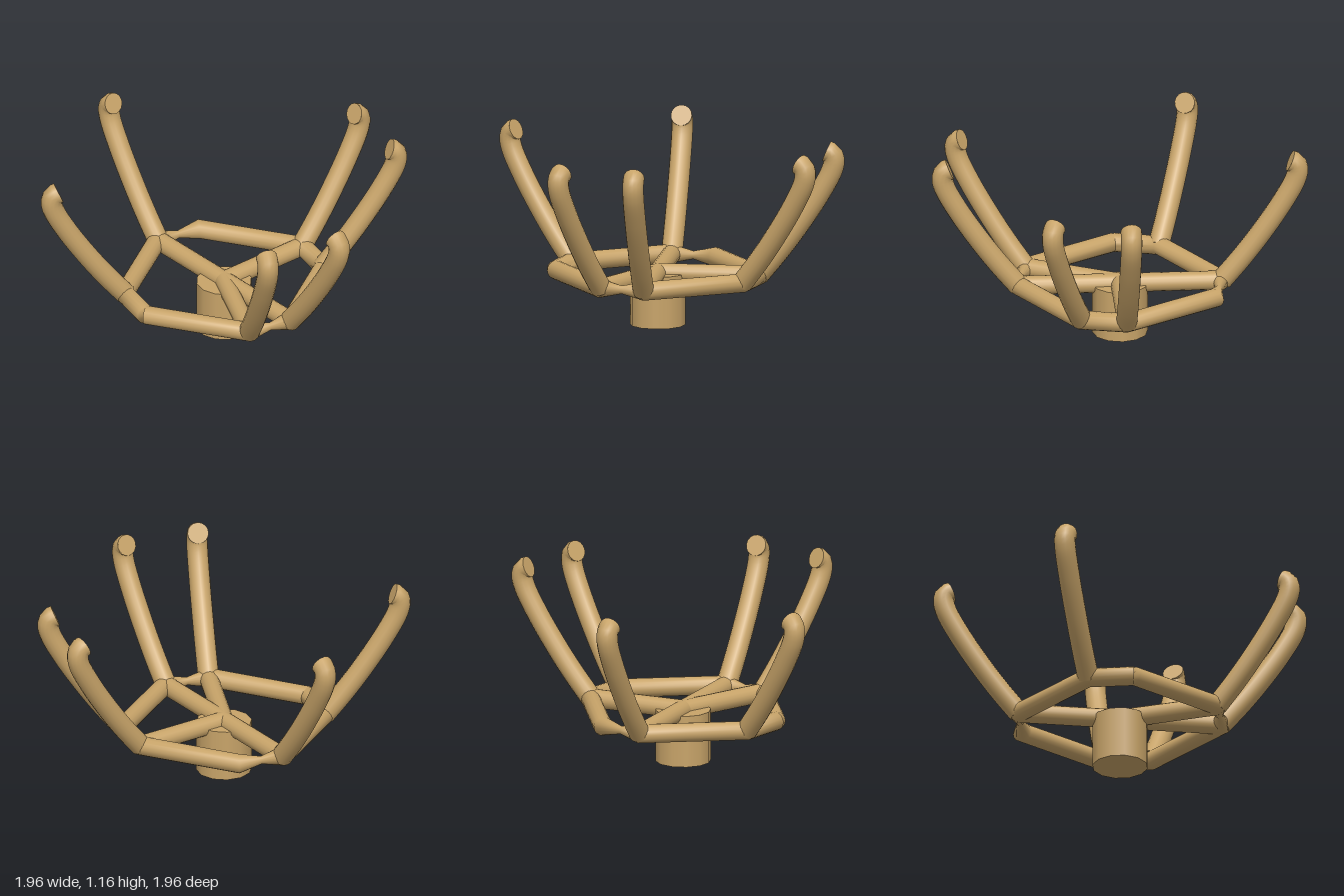
import * as THREE from 'three';

const RING_Y = 0.32, RING_R = 0.625, BAR = 0.058, PRONG = 0.065;
const rad = THREE.MathUtils.degToRad;
const polar = (deg, r, y) => new THREE.Vector3(r * Math.cos(rad(deg)), y, r * Math.sin(rad(deg)));

export function createModel() {
  const model = new THREE.Group();
  const material = new THREE.MeshStandardMaterial({ color: 0xc8a469, side: THREE.DoubleSide });

  function add(geometry, name, parent = model) {
    const mesh = new THREE.Mesh(geometry, material);
    mesh.name = name;
    parent.add(mesh);
    return mesh;
  }

  // Round bar along a curve, closed at both ends by discs
  function bar(curve, segments, radius, name) {
    const group = new THREE.Group();
    group.name = name;
    add(new THREE.TubeGeometry(curve, segments, radius, 16), name + 'Tube', group);
    for (const t of [0, 1]) {
      const cap = add(new THREE.CircleGeometry(radius, 16), name + 'End', group);
      const p = curve.getPointAt(t);
      cap.position.copy(p);
      cap.lookAt(p.clone().addScaledVector(curve.getTangentAt(t), t ? 1 : -1));
    }
    model.add(group);
  }

  // Central post
  const post = add(new THREE.CylinderGeometry(0.17, 0.17, RING_Y, 12), 'post');
  post.position.y = RING_Y / 2;

  // Eight-cornered ring with mitred corners, an open seam and two pinched bars
  const corners = [122, 58, 32, -32, -58, -122, -148, -212, -238].map(a => polar(a, RING_R, RING_Y));
  const pinched = [1, 5];
  const sections = [];
  const up = new THREE.Vector3(0, 1, 0);
  const dir = i => corners[i + 1].clone().sub(corners[i]).normalize();
  corners.forEach((c, i) => {
    const before = dir(Math.max(i - 1, 0)), after = dir(Math.min(i, corners.length - 2));
    const along = before.clone().add(after).normalize();
    const side = up.clone().cross(along).multiplyScalar(BAR / along.dot(before));
    sections.push({ centre: c, side, height: BAR });
    if (pinched.includes(i)) {
      sections.push({
        centre: c.clone().lerp(corners[i + 1], 0.5),
        side: up.clone().cross(after).multiplyScalar(0.02),
        height: 0.025,
      });
    }
  });
  const SIDES = 16, positions = [], indices = [];
  sections.forEach(({ centre, side, height }, i) => {
    for (let j = 0; j < SIDES; j++) {
      const a = (j / SIDES) * Math.PI * 2;
      const p = centre.clone().addScaledVector(side, Math.cos(a)).addScaledVector(up, height * Math.sin(a));
      positions.push(p.x, p.y, p.z);
      if (i === 0) continue;
      const k = (j + 1) % SIDES, A = (i - 1) * SIDES, B = i * SIDES;
      indices.push(A + j, B + j, A + k, A + k, B + j, B + k);
    }
  });
  // Seam end faces
  const last = (sections.length - 1) * SIDES;
  for (let j = 1; j < SIDES - 1; j++) {
    indices.push(0, j, j + 1, last, last + j + 1, last + j);
  }
  // Keep the winding outward
  for (let i = 0; i < indices.length; i += 3) {
    [indices[i + 1], indices[i + 2]] = [indices[i + 2], indices[i + 1]];
  }
  const ring = new THREE.BufferGeometry();
  ring.setAttribute('position', new THREE.Float32BufferAttribute(positions, 3));
  ring.setIndex(indices);
  // Point the faces away from the bar's axis
  const [a, b, c] = [0, 1, 2].map(n => new THREE.Vector3().fromArray(positions, indices[n] * 3));
  const normal = b.clone().sub(a).cross(c.clone().sub(a));
  if (normal.dot(a.clone().sub(corners[0])) < 0) ring.setIndex(indices.reverse());
  ring.computeVertexNormals();
  add(ring, 'ring');

  // Spokes from the post to the ring
  for (const angle of [32, 58, -58, -148]) {
    bar(new THREE.LineCurve3(new THREE.Vector3(0, RING_Y, 0), polar(angle, RING_R, RING_Y)), 1, BAR, 'spoke');
  }

  // Upswept prongs with inward hooked tips: [distance from axis, height]
  const profile = [
    [0.62, 0.32], [0.735, 0.46], [0.85, 0.615], [0.985, 0.82], [1.07, 0.98],
    [1.083, 1.045], [1.068, 1.085], [1.038, 1.098],
  ];
  for (const angle of [32, 58, -32, -58, 148, -148]) {
    const curve = new THREE.CatmullRomCurve3(profile.map(([r, y]) => polar(angle, r, y)));
    bar(curve, 40, PRONG, 'prong');
  }
  return model;
}
